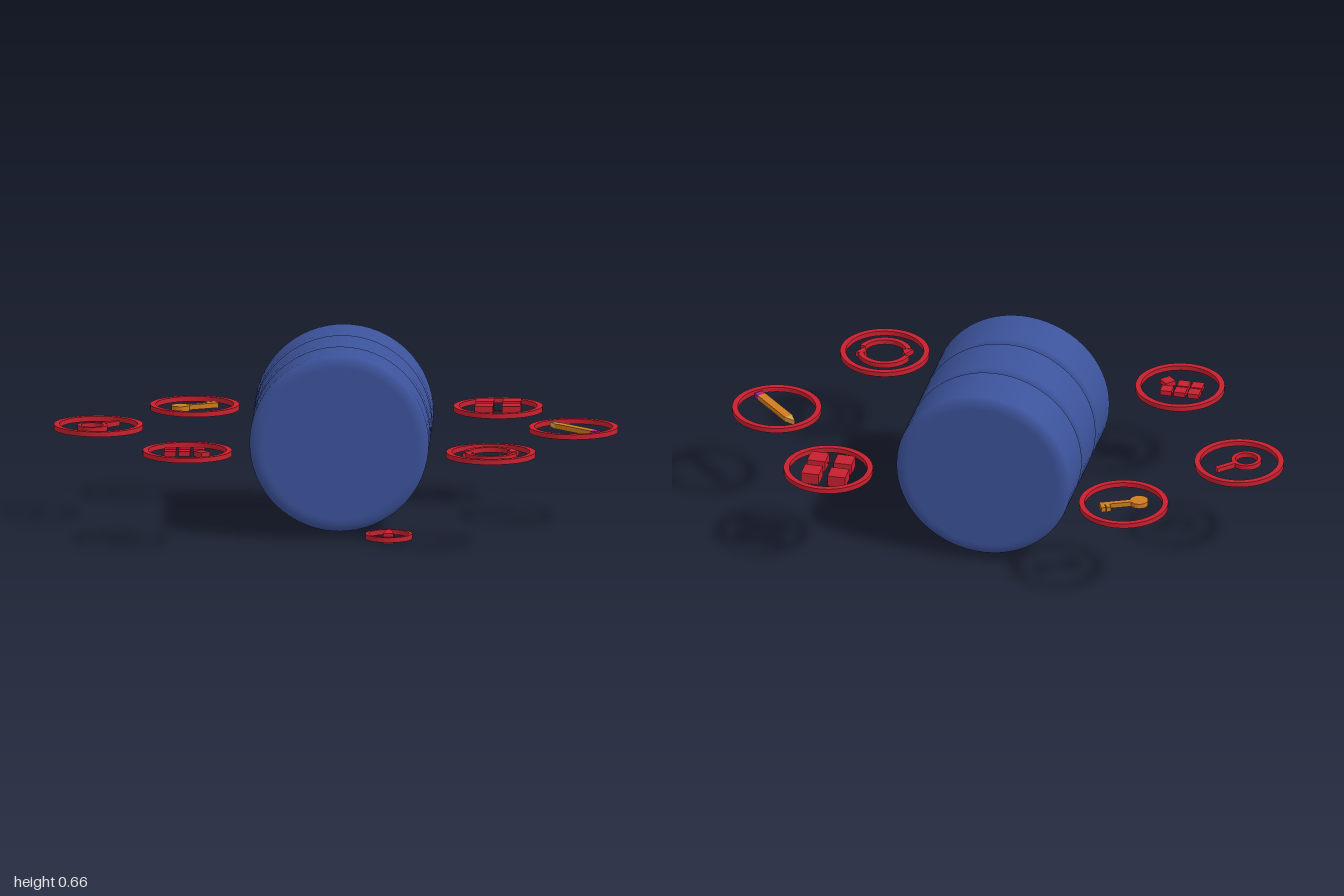
import * as THREE from 'three';
import { toCreasedNormals } from 'three/addons/utils/BufferGeometryUtils.js';

const material = (color) => new THREE.MeshStandardMaterial({ color });
const red = material(0xc8202f), blue = material(0x3c539b), orange = material(0xd07c1e);
const tan = material(0xdba24a), purple = material(0xa81f86);
const THICK = 0.018;

// Lies a flat outline (x right, y towards the back) on the ground plane, centred in height
function plate(name, shape, mat, height = THICK) {
  const geo = new THREE.ExtrudeGeometry(shape, { depth: height, bevelEnabled: false, curveSegments: 32 });
  geo.translate(0, 0, -height / 2).rotateX(-Math.PI / 2);
  const mesh = new THREE.Mesh(toCreasedNormals(geo, 0.6), mat);
  mesh.name = name;
  return mesh;
}

const polygon = (points) => new THREE.Shape(points.map(([x, y]) => new THREE.Vector2(x, y)));

function annulus(outer, inner, x = 0, y = 0) {
  const shape = new THREE.Shape().absarc(x, y, outer, 0, Math.PI * 2, false);
  if (inner) shape.holes.push(new THREE.Path().absarc(x, y, inner, 0, Math.PI * 2, true));
  return shape;
}

function box(name, x, y, w, d, height = THICK) {
  const mesh = new THREE.Mesh(new THREE.BoxGeometry(w, height, d), red);
  mesh.position.set(x, 0, -y);
  mesh.name = name;
  return mesh;
}

// Bar of given width along a line between two points
function bar(x0, y0, x1, y1, width) {
  const len = Math.hypot(x1 - x0, y1 - y0);
  const nx = -(y1 - y0) / len * width / 2, ny = (x1 - x0) / len * width / 2;
  return polygon([[x0 - nx, y0 - ny], [x1 - nx, y1 - ny], [x1 + nx, y1 + ny], [x0 + nx, y0 + ny]]);
}

// One rounded drum section along z
function drumSection(length, radius) {
  const a = 0.025, b = 0.045, h = length / 2, profile = [new THREE.Vector2(0, -h)];
  for (const side of [-1, 1]) {
    for (let i = 0; i <= 6; i++) {
      const t = (side < 0 ? i : 6 - i) / 6 * Math.PI / 2;
      profile.push(new THREE.Vector2(radius - b + b * Math.sin(t), side * (h - a + a * Math.cos(t))));
    }
  }
  profile.push(new THREE.Vector2(0, h));
  const mesh = new THREE.Mesh(new THREE.LatheGeometry(profile, 64).rotateX(Math.PI / 2), blue);
  mesh.name = 'drumSection';
  return mesh;
}

function keyIcon() {
  const key = new THREE.Group();
  key.add(plate('keyBow', annulus(0.032), orange));
  key.add(plate('keyShaft', bar(0.02, 0, 0.142, 0, 0.019), orange));
  key.add(plate('keyBit', bar(0.115, 0.005, 0.115, 0.032, 0.016), orange));
  key.add(plate('keyBit', bar(0.134, 0.005, 0.134, 0.032, 0.016), orange));
  key.position.set(-0.05, 0, 0.027);
  key.rotation.y = 0.42;
  return [key];
}

function magnifierIcon() {
  return [
    plate('lensRim', annulus(0.053, 0.039, -0.021, -0.022), red),
    plate('handle', bar(0.013, 0.012, 0.068, 0.066, 0.018), red),
  ];
}

function pencilIcon() {
  const pencil = new THREE.Group();
  const w = 0.016;
  pencil.add(plate('pencilTip', polygon([[-0.122, 0], [-0.08, -w], [-0.08, w]]), tan));
  pencil.add(plate('pencilBody', bar(-0.08, 0, 0.102, 0, 2 * w), orange));
  pencil.add(plate('eraser', bar(0.102, 0, 0.124, 0, 2 * w), purple));
  pencil.rotation.y = -Math.PI / 4;
  return [pencil];
}

function tilesIcon() {
  const parts = [];
  for (let i = 0; i < 5; i++) {
    parts.push(box('tile', -0.06 + (i % 3) * 0.05, i < 3 ? 0.033 : -0.015, 0.042, 0.042));
  }
  const diamond = box('turnedTile', 0.051, -0.027, 0.041, 0.041);
  diamond.rotation.y = Math.PI / 4;
  return [...parts, diamond];
}

function blocksIcon() {
  const parts = [];
  for (const x of [-1, 1]) {
    for (const y of [-1, 1]) parts.push(box('block', x * 0.048, y * 0.048, 0.065, 0.065, 0.041));
  }
  parts.push(box('link', 0.048, 0, 0.004, 0.04, 0.004), box('link', 0, -0.048, 0.04, 0.004, 0.004));
  return parts;
}

// Two curved arrows chasing each other clockwise
function cycleIcon() {
  return [0, Math.PI].map((turn) => {
    const arrow = new THREE.Group();
    arrow.name = 'curvedArrow';
    const arc = new THREE.Shape().absarc(0, 0, 0.095, 0.38, 2.95, false);
    arc.absarc(0, 0, 0.076, 2.95, 0.38, true);
    arrow.add(plate('arrowArc', arc, red));
    arrow.add(plate('arrowHead', polygon([[0.058, 0.026], [0.075, -0.01], [0.099, 0.034]]), red));
    arrow.rotation.y = turn;
    return arrow;
  });
}

function warningIcon() {
  return [
    plate('markStem', polygon([[-0.019, -0.056], [0.019, -0.056], [0.009, 0.016], [-0.009, 0.016]]), red, 0.038),
    box('markDot', 0, 0.039, 0.02, 0.02, 0.038),
  ];
}

// A ring with its icon
function badge(name, x, y, z, outer, rim, icon) {
  const group = new THREE.Group();
  group.name = name;
  group.add(plate('ring', annulus(outer, outer - rim), red), ...icon);
  group.position.set(x, y, z);
  return group;
}

export function createModel() {
  const model = new THREE.Group();

  // Drum of three sections
  const drum = new THREE.Group();
  drum.name = 'drum';
  for (let i = -1; i <= 1; i++) {
    const section = drumSection(0.212, 0.317);
    section.position.z = i * 0.212;
    drum.add(section);
  }
  drum.position.set(0.018, 0.344, -0.046);
  model.add(drum);

  // Six large badges around the drum
  const badges = [
    ['keyBadge', -0.513, -0.435, keyIcon()],
    ['blocksBadge', 0.56, -0.435, blocksIcon()],
    ['magnifierBadge', -0.842, -0.053, magnifierIcon()],
    ['pencilBadge', 0.838, -0.053, pencilIcon()],
    ['tilesBadge', -0.513, 0.427, tilesIcon()],
    ['cycleBadge', 0.56, 0.427, cycleIcon()],
  ];
  for (const [name, x, z, icon] of badges) model.add(badge(name, x, 0.343, z, 0.158, 0.02, icon));

  // Small badge near the ground
  model.add(badge('warningBadge', 0.195, 0.019, 0.284, 0.083, 0.012, warningIcon()));
  return model;
}
